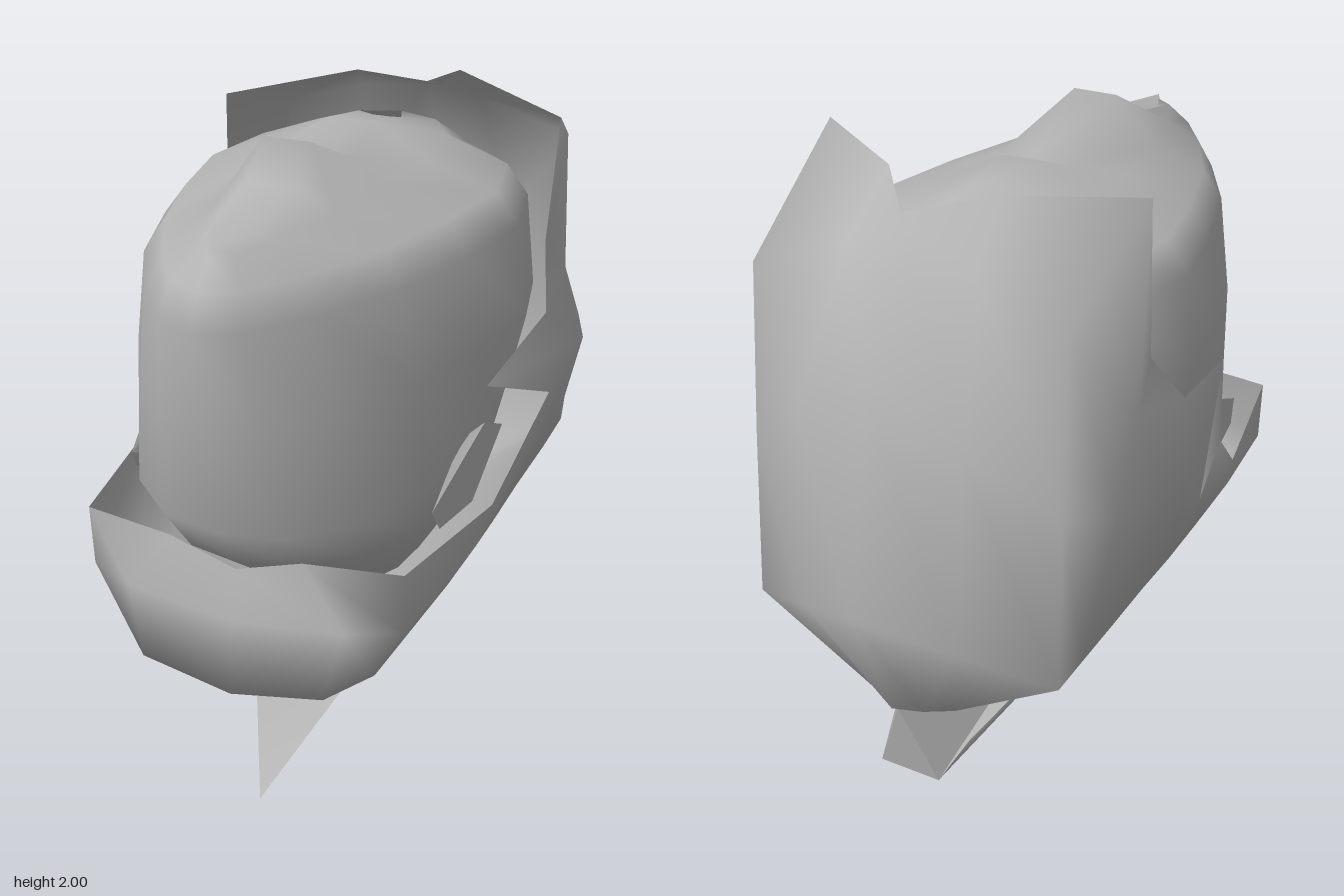
import * as THREE from 'three';
import { mergeVertices, toCreasedNormals } from 'three/addons/utils/BufferGeometryUtils.js';
import { ConvexGeometry } from 'three/addons/geometries/ConvexGeometry.js';

const grey = new THREE.MeshStandardMaterial({ color: 0xb4b4b4, side: THREE.DoubleSide });
grey.name = 'stone grey';

const flip = ([x, y, z]) => [-x, y, z];
const named = (name, geometry) => {
  const mesh = new THREE.Mesh(geometry, grey);
  mesh.name = name;
  return mesh;
};

// Skin a closed ring of columns, each running bottom to top, with a shared bottom point
function skin(columns, bottom, closeTop) {
  const rows = columns[0].length, n = columns.length;
  const position = [...columns.flat(2), ...bottom], index = [];
  const at = (i, j) => (i % n) * rows + j;
  for (let i = 0; i < n; i++) {
    index.push(n * rows, at(i + 1, 0), at(i, 0));
    for (let j = 0; j < rows - 1; j++) {
      const [a, b, c, d] = [at(i, j), at(i + 1, j), at(i + 1, j + 1), at(i, j + 1)];
      index.push(a, b, d, b, c, d);
    }
  }
  // Join the two sides across the top ridge
  if (closeTop) {
    const t = rows - 1;
    for (let i = 0; i < n / 2; i++) {
      const [a, b, c, d] = [at(i, t), at(i + 1, t), at(n - i - 1, t), at(n - i, t)];
      index.push(a, b, d, b, c, d);
    }
  }
  const g = new THREE.BufferGeometry();
  g.setAttribute('position', new THREE.Float32BufferAttribute(position, 3));
  g.setIndex(index);
  g.computeVertexNormals();
  return g;
}

// Half the columns, then their mirror images without the two centre columns
const mirrored = (half) => [...half, ...half.slice(1, -1).reverse().map((col) => col.map(flip))];

function convex(points, crease) {
  const g = new ConvexGeometry(points.map((p) => new THREE.Vector3(...p)));
  g.deleteAttribute('normal');
  return toCreasedNormals(mergeVertices(g), crease);
}

// Rounded kernel: an outline that turns boxier lower down, topped by a lumpy ridge
function kernel() {
  const plan = [ // upper half width, z, lower half width
    [0, 1, 0], [0.12, 0.96, 0.17], [0.25, 0.8, 0.32], [0.4, 0.55, 0.42], [0.5, 0.25, 0.45],
    [0.56, -0.03, 0.46], [0.5, -0.3, 0.42], [0.3, -0.45, 0.28], [0, -0.5, 0]];
  const layers = [ // height, width scale, front z, back z, boxiness
    [0.6, 0.6, 0.4, -0.3, 1], [0.9, 0.95, 0.78, -0.4, 1], [1.06, 1.04, 0.9, -0.45, 1],
    [1.4, 1.04, 0.96, -0.5, 0.3], [1.68, 0.93, 1, -0.5, 0], [1.77, 0.8, 0.95, -0.48, 0],
    [1.84, 0.42, 0.89, -0.46, 0]];
  const ridge = [[0, 1.86, 0.88], [0.05, 1.86, 0.76], [0.07, 1.91, 0.52], [0.07, 2, 0.41], [0.07, 1.87, 0.12],
    [0.07, 1.93, -0.04], [0.06, 1.9, -0.2], [0.04, 1.85, -0.35], [0, 1.8, -0.45]];
  const half = plan.map(([x, z, low], i) => [
    ...layers.map(([y, s, front, back, m]) =>
      [s * (x + (low - x) * m), y, back + (z + 0.5) / 1.5 * (front - back)]),
    ridge[i],
  ]);
  return skin(mirrored(half), [0, 0.5, 0], true);
}

// Broken husk: columns from the front lip round to the back, ending on a jagged rim
function husk() {
  const half = [
    [[0, 0.41, 0.25], [0, 0.51, 0.86], [0, 0.75, 0.85], [0, 0.89, 0.8]],
    [[0.12, 0.45, 0.25], [0.28, 0.56, 0.85], [0.33, 0.77, 0.82], [0.2, 0.955, 0.8]],
    [[0.15, 0.45, 0.12], [0.39, 0.6, 0.74], [0.48, 0.77, 0.75], [0.48, 0.96, 0.76]],
    [[0.14, 0.43, -0.05], [0.45, 0.65, 0.3], [0.54, 0.82, 0.33], [0.57, 0.94, 0.28]],
    [[0.13, 0.42, -0.2], [0.49, 0.71, 0], [0.58, 0.95, 0], [0.64, 1.18, -0.02]],
    [[0.13, 0.42, -0.35], [0.5, 0.73, -0.22], [0.64, 1.18, -0.25], [0.53, 1.3, 0.25]],
    [[0.13, 0.42, -0.48], [0.52, 0.76, -0.45], [0.64, 1.2, -0.4], [0.58, 1.37, -0.16]],
    [[0.12, 0.43, -0.58], [0.51, 0.74, -0.63], [0.58, 1.2, -0.57], [0.56, 1.43, -0.42], [0.53, 1.54, -0.29]],
    [[0.12, 0.45, -0.68], [0.5, 0.72, -0.75], [0.49, 1.25, -0.72], [0.48, 1.76, -0.68], [0.6, 1.98, -0.12]],
    [[0.06, 0.48, -0.76], [0.25, 0.83, -0.88], [0.26, 1.42, -0.83], [0.2, 1.86, -0.64], [0.2, 2, -0.42]],
    [[0, 0.52, -0.83], [0, 0.94, -1], [0, 1.58, -0.87], [0.03, 1.9, -0.61], [0.1, 1.92, -0.53]],
  ];
  for (const col of half) if (col.length < 5) col.push([...col[3]]);
  const columns = mirrored(half);
  // The right-hand flap breaks off lower than the left
  columns[11][4] = [-0.13, 1.97, -0.41];
  columns[12][4] = [-0.45, 1.93, -0.14];
  return skin(columns, [0, 0.33, -0.35], false);
}

export function createModel() {
  const group = new THREE.Group();
  group.name = 'crackedKernel';
  group.add(named('kernel', kernel()), named('husk', husk()));

  // Loose chip on each side of the kernel
  const chip = [[0.47, 1.02, 0.52], [0.52, 1.17, 0.22], [0.53, 1.1, 0.08], [0.51, 0.94, 0.28],
    [0.48, 0.95, 0.48], [0.45, 1.1, 0.22], [0.44, 0.96, 0.4]];
  group.add(named('leftChip', convex(chip, 0.8)), named('rightChip', convex(chip.map(flip), 0.8)));

  // Pointed keel under the husk, with a winged strut rising at its tail
  const pair = (p) => [p, flip(p)];
  const tail = pair([0.1, 0.23, -0.75]);
  const keel = [[0, 0, 0.69], [0, 0.06, -0.05], ...pair([0.25, 0.415, 0.18]), ...pair([0.12, 0.28, -0.6]), ...tail];
  const strut = [...tail, ...pair([0.17, 0.44, -0.46]), [0, 0.5, -0.8]];
  group.add(named('keel', convex(keel, 1.2)), named('tailStrut', convex(strut, 0.7)));
  return group;
}
